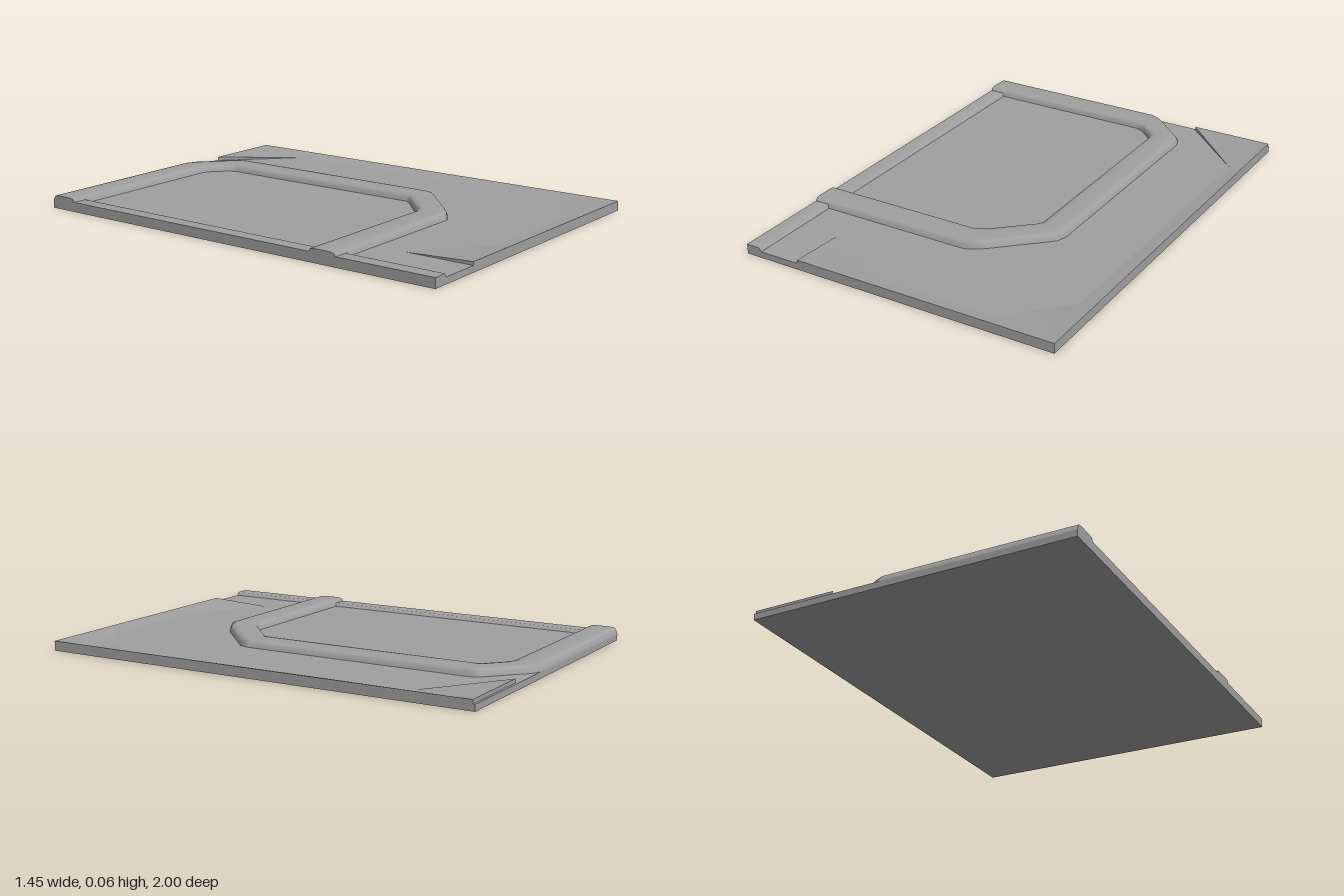
import * as THREE from 'three';

const material = new THREE.MeshStandardMaterial({ color: 0xa0a0a0 });
const halfWidth = 0.723, floor = 0.028, rim = 0.043;

function addMesh(group, name, geometry) {
  const mesh = new THREE.Mesh(geometry, material);
  mesh.name = name;
  group.add(mesh);
}

function build(positions, index) {
  const geometry = new THREE.BufferGeometry();
  geometry.setAttribute('position', new THREE.Float32BufferAttribute(positions, 3));
  geometry.setIndex(index);
  geometry.computeVertexNormals();
  return geometry;
}

// Smooth loft between two [x, z] lines; the section holds [fraction across, height]
function loft(from, to, section) {
  const positions = [], index = [];
  const n = section.length;
  from.forEach(([ax, az], i) => {
    const [bx, bz] = to[i];
    for (const [t, y] of section) positions.push(ax + (bx - ax) * t, y, az + (bz - az) * t);
  });
  for (let i = 0; i < from.length - 1; i++) {
    for (let j = 0; j < n - 1; j++) {
      const a = i * n + j, b = a + n;
      index.push(a, a + 1, b, b, a + 1, b + 1);
    }
  }
  // End caps with their own vertices so their edges stay sharp
  for (const row of [0, from.length - 1]) {
    const base = positions.length / 3;
    positions.push(...positions.slice(row * n * 3, (row + 1) * n * 3));
    for (let j = 1; j < n - 1; j++) {
      if (row === 0) index.push(base, base + j + 1, base + j);
      else index.push(base, base + j, base + j + 1);
    }
  }
  return build(positions, index);
}

// Border rising from a cut-cornered line on the floor to the panel's outer edge
function slopedBorder() {
  const low = [[-0.465, 0.69], [-0.16, 0.93], [0.42, 0.93], [0.655, 0.69], [0.655, -0.7]]
    .map(([x, z]) => [x, floor, z]);
  const high = [[-0.465, rim, 1], [halfWidth, rim, 1], [halfWidth, 0.045, -0.99], [0.35, 0.045, -0.99]];
  const positions = [...low, ...high].flat();
  const index = [0, 5, 1, 1, 5, 6, 1, 6, 2, 2, 6, 3, 3, 6, 7, 3, 7, 4, 4, 7, 8];

  // Upright walls below the slope, closing down to the floor
  const edge = [low[0], ...high, low[4]];
  for (let i = 0; i < edge.length - 1; i++) {
    const [p, q] = [edge[i], edge[i + 1]];
    const base = positions.length / 3;
    positions.push(...p, ...q, p[0], floor, p[2], q[0], floor, q[2]);
    index.push(base, base + 2, base + 1, base + 1, base + 2, base + 3);
  }
  return build(positions, index);
}

export function createModel() {
  const group = new THREE.Group();
  group.name = 'wallPanel';

  // Base plate
  addMesh(group, 'basePlate',
    new THREE.BoxGeometry(halfWidth * 2, floor, 2).translate(0, floor / 2, 0));

  // Raised strips along the side edge, between and beyond the ridge ends
  const stripSection = [[0, floor], [0, rim], [0, rim], [0.88, rim], [1, floor]];
  for (const [name, z0, z1] of [['edgeStripLong', -0.93, 0.48], ['edgeStripShort', 0.48, 1]]) {
    addMesh(group, name, loft(
      [[-halfWidth, z1], [-halfWidth, z0]], [[-0.65, z1], [-0.65, z0]], stripSection));
  }

  addMesh(group, 'border', slopedBorder());

  // U-shaped rounded ridge
  const outer = [
    [-halfWidth, -1], [0.125, -1], [0.17, -0.98], [0.335, -0.83], [0.348, -0.79],
    [0.348, 0.25], [0.335, 0.3], [0.115, 0.51], [0.045, 0.555], [-halfWidth, 0.555],
  ];
  const inner = [
    [-halfWidth, -0.865], [0.095, -0.865], [0.135, -0.85], [0.205, -0.785], [0.214, -0.75],
    [0.214, 0.23], [0.205, 0.25], [0.06, 0.385], [0.01, 0.415], [-halfWidth, 0.415],
  ];
  const half = [[0, floor], [0.035, 0.043], [0.1, 0.056], [0.25, 0.058]];
  const section = [...half, [0.5, 0.0585], ...half.map(([t, y]) => [1 - t, y]).reverse()];
  addMesh(group, 'ridge', loft(outer, inner, section));

  return group;
}
